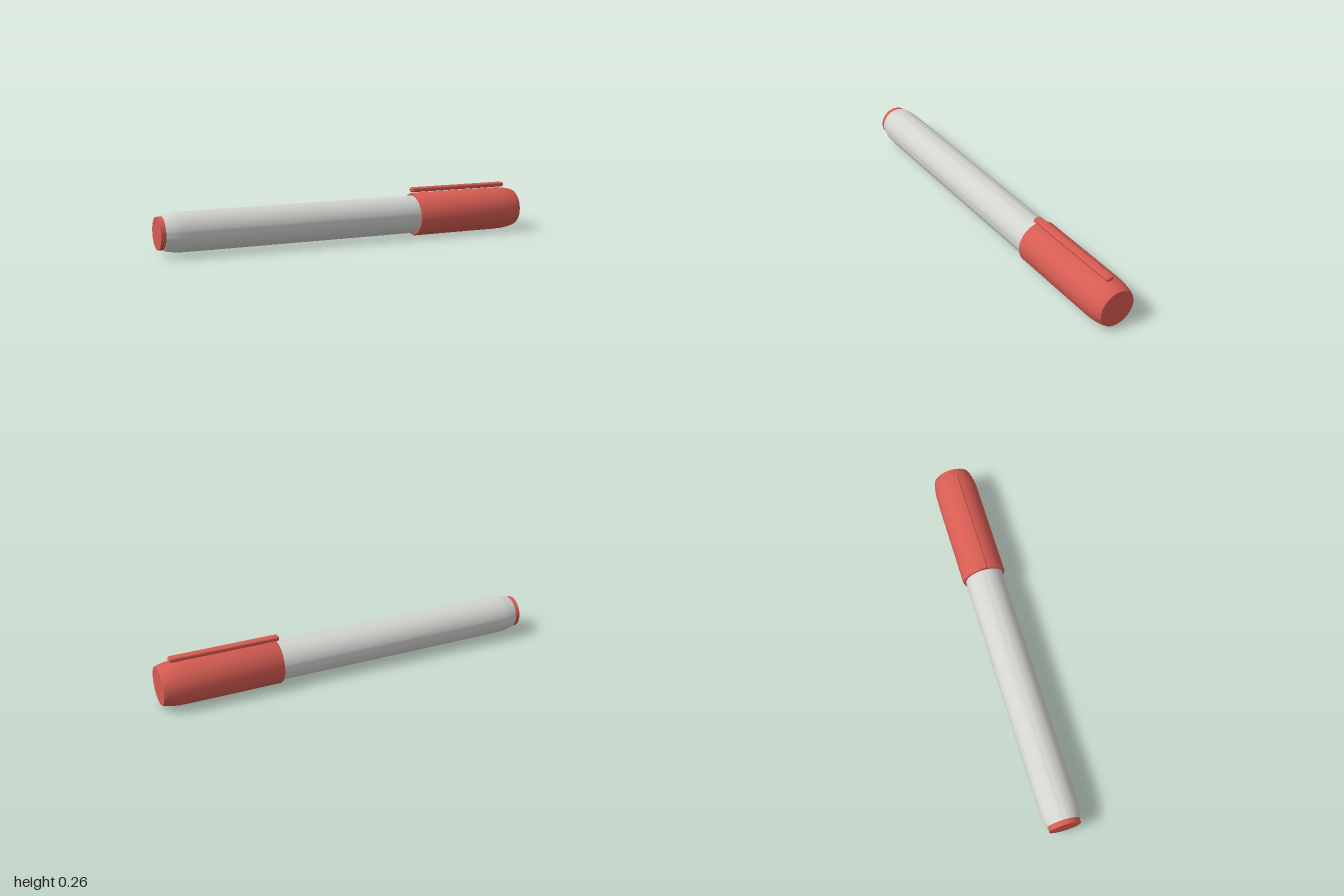
import * as THREE from 'three';
import { toCreasedNormals } from 'three/addons/utils/BufferGeometryUtils.js';
import { RoundedBoxGeometry } from 'three/addons/geometries/RoundedBoxGeometry.js';

const AXIS_Y = 0.1145; // height of the marker's centre line

export function createModel() {
  const red = new THREE.MeshStandardMaterial({ color: 0xd65c52 });
  red.name = 'red plastic';
  const grey = new THREE.MeshStandardMaterial({ color: 0xd3d3d0 });
  grey.name = 'light grey plastic';

  const model = new THREE.Group();
  model.name = 'markerPen';

  const add = (name, geometry, material) => {
    const mesh = new THREE.Mesh(geometry, material);
    mesh.name = name;
    model.add(mesh);
    return mesh;
  };

  // Turned part lying along x; profile is [x, radius] from left to right
  const turned = (name, profile, material) => {
    const points = profile.map(([x, r]) => new THREE.Vector2(r, x));
    const geometry = toCreasedNormals(new THREE.LatheGeometry(points, 64), 0.5);
    geometry.rotateZ(-Math.PI / 2);
    add(name, geometry, material).position.y = AXIS_Y;
  };

  // Barrel with a softly tapered tail, running on into the cap
  turned('barrel', [
    [-0.975, 0], [-0.975, 0.085], [-0.95, 0.091], [-0.925, 0.096],
    [-0.9, 0.098], [-0.84, 0.099], [0.42, 0.099], [0.42, 0],
  ], grey);

  // Coloured plug at the tail
  turned('endPlug', [[-1, 0], [-1, 0.081], [-0.97, 0.081], [-0.97, 0]], red);

  // Cap with a small lip and a tapered closed end
  turned('cap', [
    [0.385, 0.095], [0.385, 0.11], [0.392, 0.1135], [0.88, 0.1135], [0.92, 0.1125],
    [0.95, 0.109], [0.975, 0.104], [0.99, 0.1], [1, 0.096], [1, 0],
  ], red);

  // Slim clip lying just above the cap
  const clip = add('clip', new RoundedBoxGeometry(0.565, 0.024, 0.04, 3, 0.009), red);
  clip.position.set(0.658, 0.245, 0);

  return model;
}
